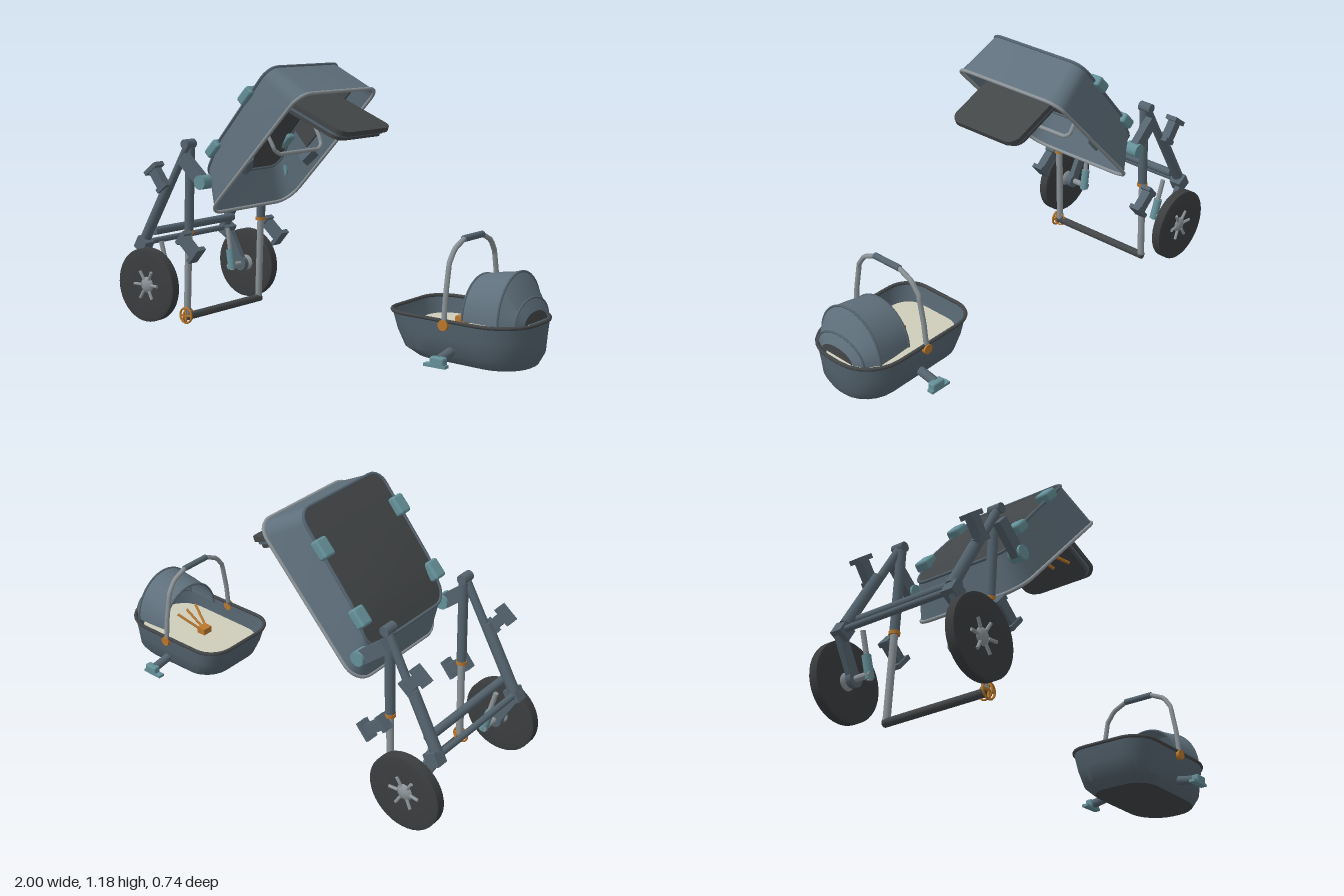
import * as THREE from 'three';
import { toCreasedNormals } from 'three/addons/utils/BufferGeometryUtils.js';
import { RoundedBoxGeometry } from 'three/addons/geometries/RoundedBoxGeometry.js';

const mat = (name, color) => new THREE.MeshStandardMaterial({ name, color, side: THREE.DoubleSide });
const M = {
  fabric: mat('slate fabric', 0x5f707c),
  frame: mat('steel blue frame', 0x54636e),
  dark: mat('charcoal fabric', 0x434648),
  tyre: mat('black rubber', 0x3b3d3f),
  metal: mat('light metal', 0x8b9398),
  teal: mat('teal fitting', 0x659099),
  orange: mat('orange fitting', 0xb9772c),
  cream: mat('cream mattress', 0xcfccba),
};
const V = (x, y, z) => new THREE.Vector3(x, y, z);

function add(parent, name, geo, material, pos = [0, 0, 0], rot = [0, 0, 0]) {
  const m = new THREE.Mesh(geo, material);
  m.name = name;
  m.position.set(...pos);
  m.rotation.set(...rot);
  parent.add(m);
  return m;
}
// Round or square bar between two points
function bar(parent, name, a, b, r, material, depth) {
  const A = V(...a), B = V(...b), len = A.distanceTo(B);
  const geo = depth ? new THREE.BoxGeometry(r * 2, len, depth) : new THREE.CylinderGeometry(r, r, len, 14);
  const m = add(parent, name, geo, material, A.clone().lerp(B, 0.5).toArray());
  m.quaternion.setFromUnitVectors(V(0, 1, 0), B.sub(A).normalize());
  return m;
}
function tube(parent, name, pts, r, material, closed = false) {
  const path = new THREE.CurvePath();
  const v = pts.map(p => (p.isVector3 ? p : V(...p)));
  for (let i = 0; i < v.length - (closed ? 0 : 1); i++) path.add(new THREE.LineCurve3(v[i], v[(i + 1) % v.length]));
  return add(parent, name, new THREE.TubeGeometry(path, v.length * 4, r, 8, closed), material);
}
// Surface through equal-length rows of points
function loft(rows, closed, crease = 0.6) {
  const n = rows[0].length, idx = [];
  for (let j = 0; j < rows.length - 1; j++)
    for (let i = 0; i < n - (closed ? 0 : 1); i++) {
      const a = j * n + i, b = j * n + (i + 1) % n;
      idx.push(a, a + n, b, b, a + n, b + n);
    }
  const g = new THREE.BufferGeometry().setFromPoints(rows.flat());
  g.setIndex(idx);
  return toCreasedNormals(g, crease);
}
// Half outline of a rounded rectangle, with one extra point on the long side
function half(x0, x1, hz, r0, r1, mid = 0.3, n = 6) {
  const p = [], q = [];
  for (let i = 0; i <= n; i++) {
    const a = i / n * Math.PI / 2, c = 1 - Math.cos(a), s = 1 - Math.sin(a);
    p.push([x0 + r0 * c, hz - r0 * s]);
    q.unshift([x1 - r1 * c, hz - r1 * s]);
  }
  return [...p, [x0 + (x1 - x0) * mid, hz], ...q];
}
const ring = (h, yf) => [...h.map(([x, z]) => V(x, yf(x), z)), ...h.slice().reverse().map(([x, z]) => V(x, yf(x), -z))];
const cap = (h, yf) => loft(h.map(([x, z]) => [V(x, yf(x), z), V(x, yf(x), -z)]), false);

function buildWheel(s) {
  const g = new THREE.Group();
  g.name = s > 0 ? 'leftWheel' : 'rightWheel';
  g.position.set(-0.83, 0.18, 0.345 * s);
  const prof = [[0.001, -0.012], [0.04, -0.012], [0.15, -0.025], [0.168, -0.02], [0.168, 0.02], [0.15, 0.025], [0.04, 0.012], [0.001, 0.012]];
  const geo = new THREE.LatheGeometry(prof.map(p => new THREE.Vector2(...p)), 40);
  add(g, 'tyre', toCreasedNormals(geo, 0.5), M.tyre, [0, 0, 0], [Math.PI / 2, 0, 0]);
  add(g, 'hub', new THREE.SphereGeometry(0.042, 20, 12), M.metal).scale.z = 0.65;
  for (let i = 0; i < 6; i++) {
    const a = i / 6 * Math.PI * 2, c = Math.cos(a), d = Math.sin(a);
    bar(g, 'hubSpoke', [c * 0.03, d * 0.03, s * 0.016], [c * 0.072, d * 0.072, s * 0.02], 0.007, M.metal);
  }
  return g;
}

function buildChassis() {
  const g = new THREE.Group();
  g.name = 'chassis';
  for (const s of [1, -1]) {
    g.add(buildWheel(s));
    // Legs and their top joint
    bar(g, 'rearLeg', [-0.92, 0.35, 0.275 * s], [-0.65, 0.82, 0.265 * s], 0.018, M.frame);
    bar(g, 'rearLegSleeve', [-0.915, 0.375, 0.275 * s], [-0.76, 0.645, 0.27 * s], 0.025, M.frame);
    bar(g, 'frontLeg', [-0.65, 0.81, 0.25 * s], [-0.667, 0.42, 0.25 * s], 0.021, M.frame);
    bar(g, 'frontLegLower', [-0.667, 0.42, 0.25 * s], [-0.685, 0.04, 0.25 * s], 0.016, M.metal);
    add(g, 'legJoint', new THREE.CylinderGeometry(0.022, 0.022, 0.06, 16), M.frame, [-0.65, 0.825, 0.26 * s], [Math.PI / 2, 0, 0]);
    add(g, 'legCollar', new THREE.CylinderGeometry(0.024, 0.024, 0.015, 16), M.orange, [-0.667, 0.425, 0.25 * s]);
    // Swing arm, axle and shock absorber
    add(g, 'rearLegFoot', new THREE.BoxGeometry(0.06, 0.06, 0.055), M.frame, [-0.915, 0.35, 0.285 * s], [0, 0, -0.52]);
    bar(g, 'swingArm', [-0.915, 0.34, 0.295 * s], [-0.83, 0.18, 0.295 * s], 0.025, M.frame, 0.025);
    add(g, 'armEnd', new THREE.CylinderGeometry(0.034, 0.034, 0.026, 20), M.frame, [-0.83, 0.18, 0.295 * s], [Math.PI / 2, 0, 0]);
    bar(g, 'axle', [-0.83, 0.18, 0.2 * s], [-0.83, 0.18, 0.34 * s], 0.014, M.metal);
    bar(g, 'shockRod', [-0.86, 0.36, 0.23 * s], [-0.82, 0.16, 0.215 * s], 0.011, M.metal);
    bar(g, 'shockBody', [-0.842, 0.26, 0.222 * s], [-0.822, 0.165, 0.215 * s], 0.019, M.teal);
    // Flanged brackets on both legs
    for (const [a, b] of [[[-0.775, 0.625], [-0.835, 0.705]], [[-0.665, 0.405], [-0.585, 0.335]]]) {
      const ang = Math.atan2(b[1] - a[1], b[0] - a[0]);
      bar(g, 'bracketStem', [...a, 0.293 * s], [...b, 0.293 * s], 0.023, M.frame, 0.04);
      add(g, 'bracketFlange', new THREE.BoxGeometry(0.02, 0.085, 0.055), M.frame, [...b, 0.293 * s], [0, 0, ang]);
      add(g, 'bracketBase', new THREE.BoxGeometry(0.02, 0.07, 0.05), M.frame, [...a, 0.288 * s], [0, 0, ang]);
    }
    // Link to the seat
    bar(g, 'seatLink', [-0.66, 0.765, 0.285 * s], [-0.54, 0.66, 0.285 * s], 0.03, M.frame, 0.035);
    add(g, 'seatHinge', new THREE.CylinderGeometry(0.032, 0.032, 0.06, 18), M.teal, [-0.54, 0.665, 0.285 * s], [Math.PI / 2, 0, 0]);
  }
  // Cross bars
  bar(g, 'rearCrossBar', [-0.92, 0.355, -0.28], [-0.92, 0.355, 0.28], 0.014, M.frame);
  bar(g, 'upperCrossBar', [-0.865, 0.412, -0.27], [-0.865, 0.412, 0.27], 0.019, M.frame);
  bar(g, 'frontCrossBar', [-0.685, 0.035, -0.26], [-0.685, 0.035, 0.26], 0.018, M.dark);
  // Open wheel on the left front leg
  add(g, 'guideRing', new THREE.TorusGeometry(0.034, 0.005, 8, 28), M.orange, [-0.68, 0.042, 0.265]);
  for (const a of [0, Math.PI / 2]) add(g, 'guideSpoke', new THREE.BoxGeometry(0.066, 0.008, 0.008), M.orange, [-0.68, 0.042, 0.265], [0, 0, a]);
  add(g, 'guideHoop', new THREE.TorusGeometry(0.032, 0.004, 8, 28), M.orange, [-0.68, 0.04, 0.25], [0, Math.PI / 2, 0]);
  return g;
}

function buildSeat() {
  const g = new THREE.Group();
  g.name = 'seat';
  // Tilted tub: local x runs up the rim, local y runs into the tub
  const tub = new THREE.Group();
  tub.name = 'seatTub';
  tub.position.set(-0.26, 0.797, 0);
  tub.rotation.z = 0.81;
  g.add(tub);
  const depth = x => (x > -0.103 ? 0.19 + 0.02 * (x + 0.103) / 0.425 : 0.14 + 0.05 * (x + 0.285) / 0.182);
  const rim = half(-0.377, 0.377, 0.285, 0.09, 0.07), back = half(-0.285, 0.322, 0.255, 0.06, 0.06);
  add(tub, 'tubWall', loft([ring(rim, () => 0), ring(back, depth)], true), M.fabric);
  add(tub, 'backPanel', cap(back, depth), M.dark);
  tube(tub, 'tubRim', ring(rim, () => 0), 0.008, M.metal, true);
  tube(tub, 'backPiping', ring(back, depth), 0.007, M.frame, true);
  for (const s of [1, -1]) {
    for (const x of [-0.155, 0.15]) add(tub, 'backPad', new RoundedBoxGeometry(0.085, 0.045, 0.065, 2, 0.012), M.teal, [x, depth(x) + 0.01, 0.247 * s]);
    add(tub, 'sideLiner', new THREE.BoxGeometry(0.36, 0.11, 0.01), M.dark, [0.1, 0.125, 0.235 * s], [0.12 * s, 0, 0]);
    bar(g, 'barSocket', [-0.33, 0.775, 0.235 * s], [-0.37, 0.725, 0.2 * s], 0.025, M.frame, 0.04);
  }
  // Folded canopy tray with its ribs
  const layers = [[0.42, 0.022, 0.36, 0, 0.012, M.dark], [0.4, 0.012, 0.35, -0.005, -0.006, M.frame], [0.38, 0.016, 0.34, -0.005, -0.022, M.dark]];
  const canopy = new THREE.Group();
  canopy.name = 'foldedCanopy';
  canopy.position.set(-0.053, 0.972, 0);
  canopy.rotation.z = -0.4;
  g.add(canopy);
  for (const [l, h, w, x, y, m] of layers) {
    const sh = new THREE.Shape(half(-l / 2, l / 2, w / 2, 0.02, 0.05).map(p => new THREE.Vector2(...p))
      .concat(half(-l / 2, l / 2, w / 2, 0.02, 0.05).reverse().map(p => new THREE.Vector2(p[0], -p[1]))));
    add(canopy, 'canopyLayer', new THREE.ExtrudeGeometry(sh, { depth: h, bevelEnabled: false }), m, [x, y + h / 2, 0], [Math.PI / 2, 0, 0]);
  }
  for (const z of [-0.13, -0.045, 0.045, 0.13]) bar(canopy, 'canopyRib', [-0.15, -0.07, z * 0.15], [0.08, -0.037, z], 0.007, M.orange);
  add(canopy, 'ribPivot', new THREE.BoxGeometry(0.04, 0.03, 0.05), M.orange, [-0.15, -0.07, 0]);
  // Bumper bar
  const side = [[-0.3, 0.93, 0.175], [-0.25, 0.85, 0.17], [-0.235, 0.815, 0.165], [-0.23, 0.795, 0.14]];
  tube(g, 'bumperBar', [...side, ...side.slice().reverse().map(([x, y, z]) => [x, y, -z])], 0.009, M.metal);
  return g;
}

function buildBassinet() {
  const g = new THREE.Group();
  g.name = 'bassinet';
  g.position.z = 0.024;
  // Shell
  const sec = [
    [half(0.38, 0.995, 0.208, 0.11, 0.17), x => 0.207 - 0.01 * (x - 0.38) / 0.6],
    [half(0.4, 0.99, 0.2, 0.11, 0.17), () => 0.13],
    [half(0.43, 0.985, 0.188, 0.11, 0.16), () => 0.06],
    [half(0.475, 0.965, 0.155, 0.1, 0.14), x => 0.027 - 0.012 * (x - 0.475) / 0.49],
  ];
  add(g, 'basketShell', loft(sec.map(s => ring(...s)), true), M.frame);
  add(g, 'basketFloor', cap(...sec[3]), M.dark);
  tube(g, 'basketRim', ring(...sec[0]), 0.008, M.dark, true);
  add(g, 'mattress', cap(half(0.42, 0.96, 0.17, 0.09, 0.13), () => 0.14), M.cream);
  // Hood
  const arch = (x, w, h) => Array.from({ length: 21 }, (_, i) => {
    const a = i / 20 * Math.PI;
    return V(x, 0.2 + h * Math.sin(a), w * Math.cos(a));
  });
  const hood = [arch(0.735, 0.165, 0.165), arch(0.82, 0.172, 0.182), arch(0.9, 0.175, 0.193), arch(0.955, 0.135, 0.095), arch(0.975, 0.09, 0.045)];
  add(g, 'hood', loft(hood, false, 0.3), M.fabric);
  add(g, 'hoodEnd', loft([hood[4], hood[4].map(() => V(0.975, 0.2, 0))], false), M.dark);
  for (const i of [0, 2, 3]) tube(g, 'hoodPiping', hood[i], 0.005, M.frame);
  // Carry handle
  const h = [[0.68, 0.18, 0.212], [0.68, 0.3, 0.2], [0.68, 0.43, 0.175], [0.682, 0.48, 0.14], [0.682, 0.512, 0.07]];
  tube(g, 'carryHandle', [...h, ...h.slice().reverse().map(([x, y, z]) => [x, y, -z])], 0.011, M.metal);
  bar(g, 'handleGrip', [0.682, 0.512, -0.072], [0.682, 0.512, 0.072], 0.014, M.frame);
  for (const s of [1, -1]) {
    add(g, 'handlePivot', new THREE.CylinderGeometry(0.022, 0.022, 0.022, 18), M.orange, [0.68, 0.186, 0.212 * s], [Math.PI / 2, 0, 0]);
    // Side mounts
    bar(g, 'mountArm', [0.7, 0.078, 0.18 * s], [0.7, 0.06, 0.28 * s], 0.02, M.frame);
    add(g, 'mountClip', new RoundedBoxGeometry(0.065, 0.04, 0.035, 2, 0.008), M.teal, [0.705, 0.058, 0.288 * s]);
    add(g, 'mountTab', new THREE.BoxGeometry(0.1, 0.012, 0.03), M.teal, [0.695, 0.042, 0.29 * s]);
  }
  // Hood linkage
  add(g, 'linkBlock', new THREE.BoxGeometry(0.045, 0.03, 0.05), M.orange, [0.64, 0.165, 0]);
  for (const z of [-0.06, 0, 0.06]) bar(g, 'linkRod', [0.65, 0.17, z * 0.3], [0.755, 0.23, z], 0.006, M.orange);
  return g;
}

export function createModel() {
  const root = new THREE.Group();
  root.name = 'explodedStroller';
  root.add(buildChassis(), buildSeat(), buildBassinet());
  return root;
}
